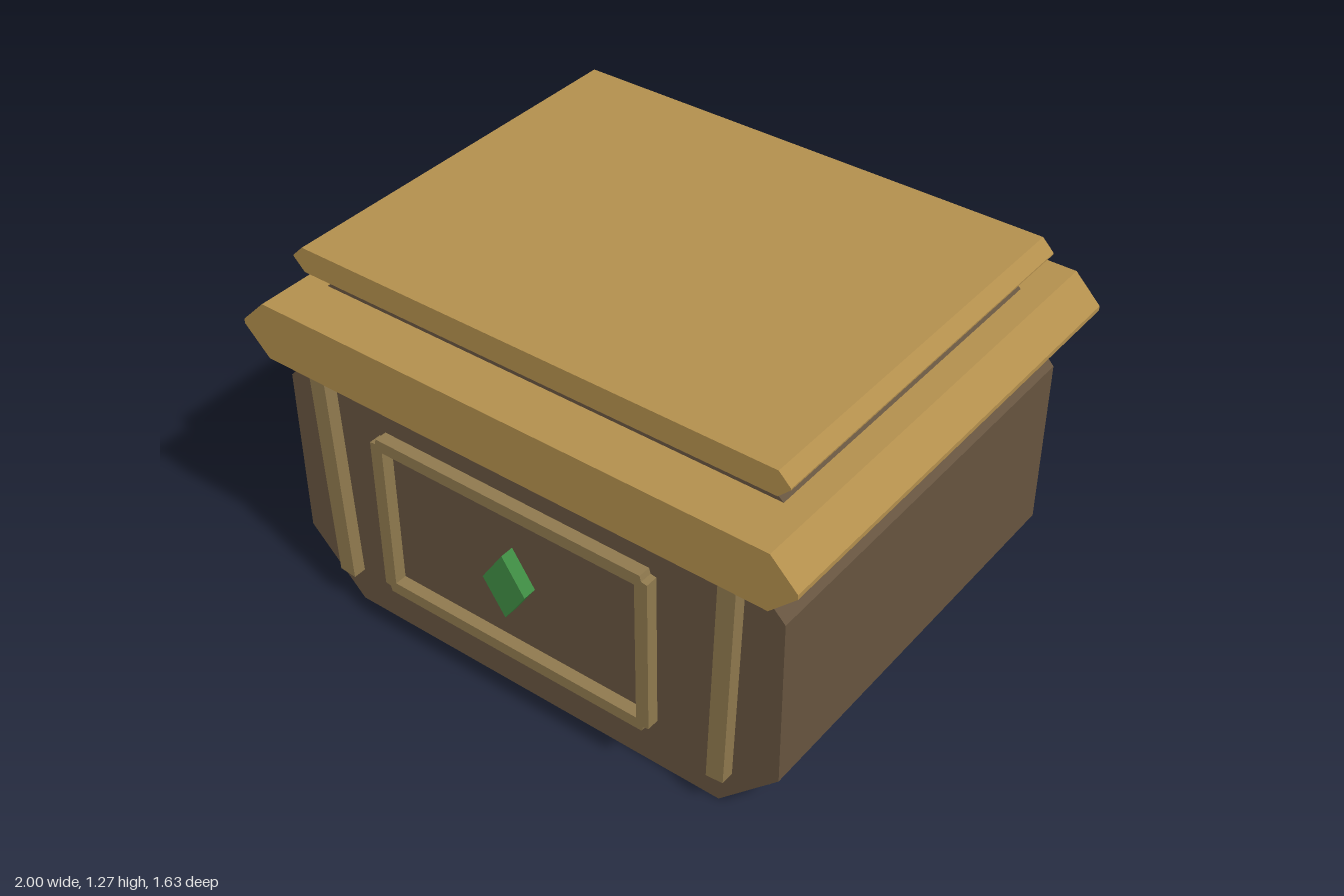
import * as THREE from 'three';

const material = (color) => new THREE.MeshStandardMaterial({ color, flatShading: true });

export function createModel() {
  const model = new THREE.Group();
  const wood = material(0x66543f);
  const gold = material(0xb38f4d);
  const trim = material(0x8f794e);
  const green = material(0x3f8c43);

  const shapeOf = (points) => new THREE.Shape(points.map(([x, y]) => new THREE.Vector2(x, y)));

  // Extrudes an outline along z between two depths
  function extrude(name, shape, z0, z1, mat, parent = model) {
    const geometry = new THREE.ExtrudeGeometry(shape, { depth: z1 - z0, bevelEnabled: false });
    geometry.translate(0, 0, z0);
    const mesh = new THREE.Mesh(geometry, mat);
    mesh.name = name;
    parent.add(mesh);
    return mesh;
  }

  // Block with its long side edges cut off: half width, heights, and chamfer size
  function chamferedBlock(name, hw, y0, y1, cx, cy, hz, mat) {
    const right = [[hw - cx, y0], [hw, y0 + cy], [hw, y1 - cy], [hw - cx, y1]];
    const left = right.map(([x, y]) => [-x, y]).reverse();
    extrude(name, shapeOf([...right, ...left]), -hz, hz, mat);
  }

  // Chest body, lid and raised top
  chamferedBlock('body', 0.915, 0, 1.02, 0.205, 0.21, 0.72, wood);
  chamferedBlock('lid', 1, 0.92, 1.116, 0.09, 0.09, 0.8, gold);
  chamferedBlock('neck', 0.86, 0.98, 1.19, 0.125, 0.13 * 0.8, 0.615, wood);
  chamferedBlock('topPlate', 0.885, 1.19, 1.275, 0.04, 0.04, 0.677, gold);

  for (const s of [1, -1]) {
    const side = s > 0 ? 'left' : 'right';
    const mirrored = (points) => shapeOf(points.map(([x, y]) => [s * x, y]));

    // Slanted straps on the front only
    extrude(side + 'Strap',
      mirrored([[0.695, 0.13], [0.755, 0.135], [0.787, 0.95], [0.727, 0.95]]), 0.7, 0.765, trim);

    // Rails lying on the lower sloped edges
    extrude(side + 'LowerRail',
      mirrored([[0.75, 0.053], [0.79, 0.053], [0.855, 0.115], [0.835, 0.135], [0.81, 0.135]]),
      -0.67, 0.67, trim);
  }

  // Picture frame and diamond, repeated front and back
  const corner = [[0.515, 0.278], [0.495, 0.281], [0.49, 0.3]];
  const flipped = corner.map(([x, y]) => [-x, y]).reverse();
  const upper = [...corner, ...flipped];
  const frameShape = shapeOf([...upper, ...upper.map(([x, y]) => [-x, -y])]);
  frameShape.holes.push(shapeOf([[-0.47, -0.258], [-0.47, 0.258], [0.47, 0.258], [0.47, -0.258]]));
  const diamondShape = shapeOf([[0.08, 0], [0, 0.12], [-0.08, 0], [0, -0.12]]);

  for (const face of ['front', 'back']) {
    const panel = new THREE.Group();
    panel.name = face + 'Panel';
    panel.position.y = 0.51;
    if (face === 'back') panel.rotation.y = Math.PI;
    extrude(face + 'Frame', frameShape, 0.757, 0.799, trim, panel);
    extrude(face + 'Diamond', diamondShape, 0.77, 0.817, green, panel);
    model.add(panel);
  }

  return model;
}
